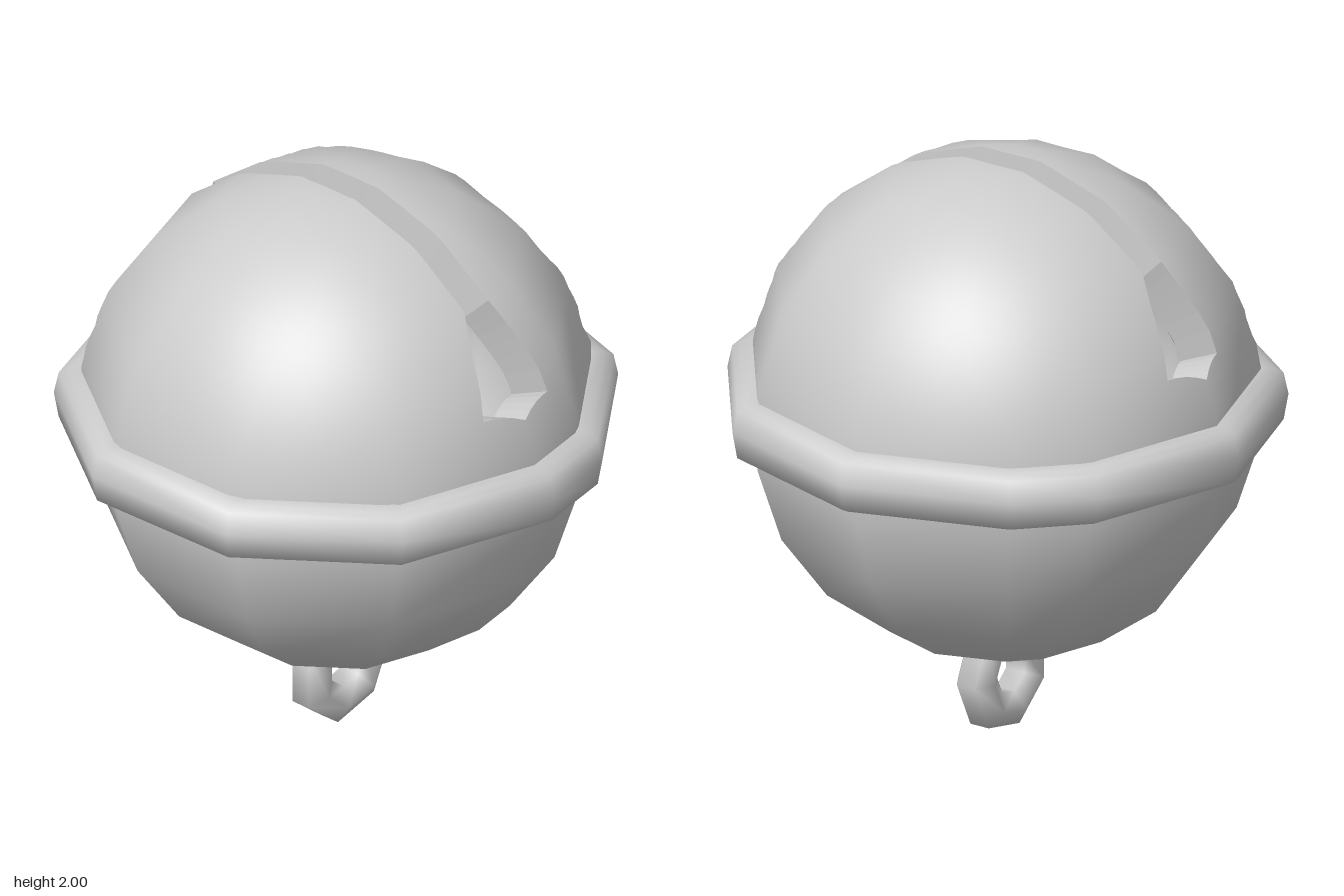
import * as THREE from 'three';

const RAD = Math.PI / 180;
const R = 0.86, CY = 1.15, INNER = 0.83;
// Meridian angles of the faceted body, measured from the back (-z) towards +x
const MERIDIANS = [0, 36, 72, 90, 126, 162, 198, 234, 270, 306, 324, 360];
const LOWER_ROWS = [90, 99, 117, 135, 153, 171, 180];

// Grid surface: fn(i, j) returns [position, normal]; triangles are wound to agree with the normal
function surface(nu, nv, fn) {
  const pos = [], nor = [], index = [], P = [], N = [];
  for (let i = 0; i <= nu; i++) for (let j = 0; j <= nv; j++) {
    const [p, n] = fn(i, j);
    P.push(p); N.push(n);
    pos.push(p.x, p.y, p.z);
    nor.push(n.x, n.y, n.z);
  }
  const tri = (a, b, c) => {
    const face = P[b].clone().sub(P[a]).cross(P[c].clone().sub(P[a]));
    const sum = N[a].clone().add(N[b]).add(N[c]);
    if (face.dot(sum) >= 0) index.push(a, b, c); else index.push(a, c, b);
  };
  for (let i = 0; i < nu; i++) for (let j = 0; j < nv; j++) {
    const a = i * (nv + 1) + j, b = a + nv + 1;
    tri(a, b, b + 1);
    tri(a, b + 1, a + 1);
  }
  const g = new THREE.BufferGeometry();
  g.setAttribute('position', new THREE.Float32BufferAttribute(pos, 3));
  g.setAttribute('normal', new THREE.Float32BufferAttribute(nor, 3));
  g.setIndex(index);
  return g;
}

// Project a direction onto the faceted ball (centred on the origin)
function onBall(dir) {
  const polar = Math.acos(THREE.MathUtils.clamp(dir.y, -1, 1)) / RAD;
  const d = R * Math.cos(9 * RAD) / Math.cos((polar - Math.round(polar / 18) * 18) * RAD);
  const az = (Math.atan2(dir.x, -dir.z) / RAD + 360) % 360;
  let k = 0;
  while (k < MERIDIANS.length - 2 && az > MERIDIANS[k + 1]) k++;
  const half = (MERIDIANS[k + 1] - MERIDIANS[k]) / 2;
  const h = Math.cos(half * RAD) / Math.cos((az - MERIDIANS[k] - half) * RAD);
  return new THREE.Vector3(dir.x * d * h, dir.y * d, dir.z * d * h);
}

// Slot edge: [t, x, z, equator angle below it]
const SLOT = [[0, 0.81, 0, 0], [0.08, 0.785, 0.15, 11], [0.2, 0.6, 0.055, 35],
  [0.8, -0.6, 0.055, 145], [0.92, -0.785, 0.15, 169], [1, -0.81, 0, 180]];

// Direction on one half of the dome: t runs along the slot, v from slot down to the equator
function domeDir(t, v, side) {
  let k = 0;
  while (k < SLOT.length - 2 && t > SLOT[k + 1][0]) k++;
  const f = (t - SLOT[k][0]) / (SLOT[k + 1][0] - SLOT[k][0]);
  const [, x, z, eq] = SLOT[k].map((s, n) => s + (SLOT[k + 1][n] - s) * f);
  const edge = new THREE.Vector3(x, Math.sqrt(0.7225 - x * x - z * z), z * side).normalize();
  const foot = new THREE.Vector3(Math.cos(eq * RAD), 0, side * Math.sin(eq * RAD));
  return edge.lerp(foot, v).normalize();
}

export function createModel() {
  const model = new THREE.Group();
  const smooth = new THREE.MeshStandardMaterial({ color: 0xcccccc, side: THREE.DoubleSide });
  const flat = new THREE.MeshStandardMaterial({ color: 0xcccccc, side: THREE.DoubleSide, flatShading: true });
  const add = (name, geometry, material = smooth, y = CY) => {
    const mesh = new THREE.Mesh(geometry, material);
    mesh.name = name;
    mesh.position.y = y;
    model.add(mesh);
  };

  // Hollow shell: outer and inner skins
  for (const [skin, scale] of [['outer', 1], ['inner', INNER]]) {
    const facing = scale === 1 ? 1 : -1;
    const skinPoint = dir => [onBall(dir).multiplyScalar(scale), dir.clone().multiplyScalar(facing)];
    for (const side of [1, -1]) {
      add(`${skin}Dome${side > 0 ? 'Front' : 'Back'}`,
        surface(50, 24, (i, j) => skinPoint(domeDir(i / 50, j / 24, side))));
    }
    add(`${skin}Bowl`, surface(MERIDIANS.length - 1, LOWER_ROWS.length - 1, (i, j) => {
      const a = MERIDIANS[i] * RAD, p = LOWER_ROWS[j] * RAD;
      return skinPoint(new THREE.Vector3(Math.sin(p) * Math.sin(a), Math.cos(p), -Math.sin(p) * Math.cos(a)));
    }));
  }

  // Cut walls of the slot
  for (const side of [1, -1]) {
    add(side > 0 ? 'slotWallFront' : 'slotWallBack', surface(50, 1, (i, j) => [
      onBall(domeDir(i / 50, 0, side)).multiplyScalar(j ? INNER : 1),
      new THREE.Vector3(0, 0.3, -side),
    ]), flat);
  }

  // Rounded belt around the middle: [radius, height]
  const belt = [[0.79, -0.08], [0.83, -0.1], [0.89, -0.095], [0.92, -0.08], [0.936, 0.01],
    [0.92, 0.085], [0.89, 0.1], [0.83, 0.105], [0.79, 0.09]];
  add('belt', surface(MERIDIANS.length - 1, belt.length - 1, (i, j) => {
    const a = MERIDIANS[i] * RAD, [r, y] = belt[j];
    const s = Math.sin(a), c = -Math.cos(a);
    return [new THREE.Vector3(r * s, y, r * c),
      new THREE.Vector3((r - 0.83) * s, y, (r - 0.83) * c).normalize()];
  }));

  // Hanging loop: seven-sided ring with a hexagonal section
  add('hangingLoop', surface(7, 6, (i, j) => {
    const a = i / 7 * Math.PI * 2, b = (j * 60 + 30) * RAD;
    const n = new THREE.Vector3(Math.sin(b), Math.cos(b) * Math.sin(a), -Math.cos(b) * Math.cos(a));
    const centre = new THREE.Vector3(0, 0.147 * Math.sin(a), -0.147 * Math.cos(a));
    return [centre.addScaledVector(n, 0.073), n];
  }), smooth, 0.205);

  return model;
}
